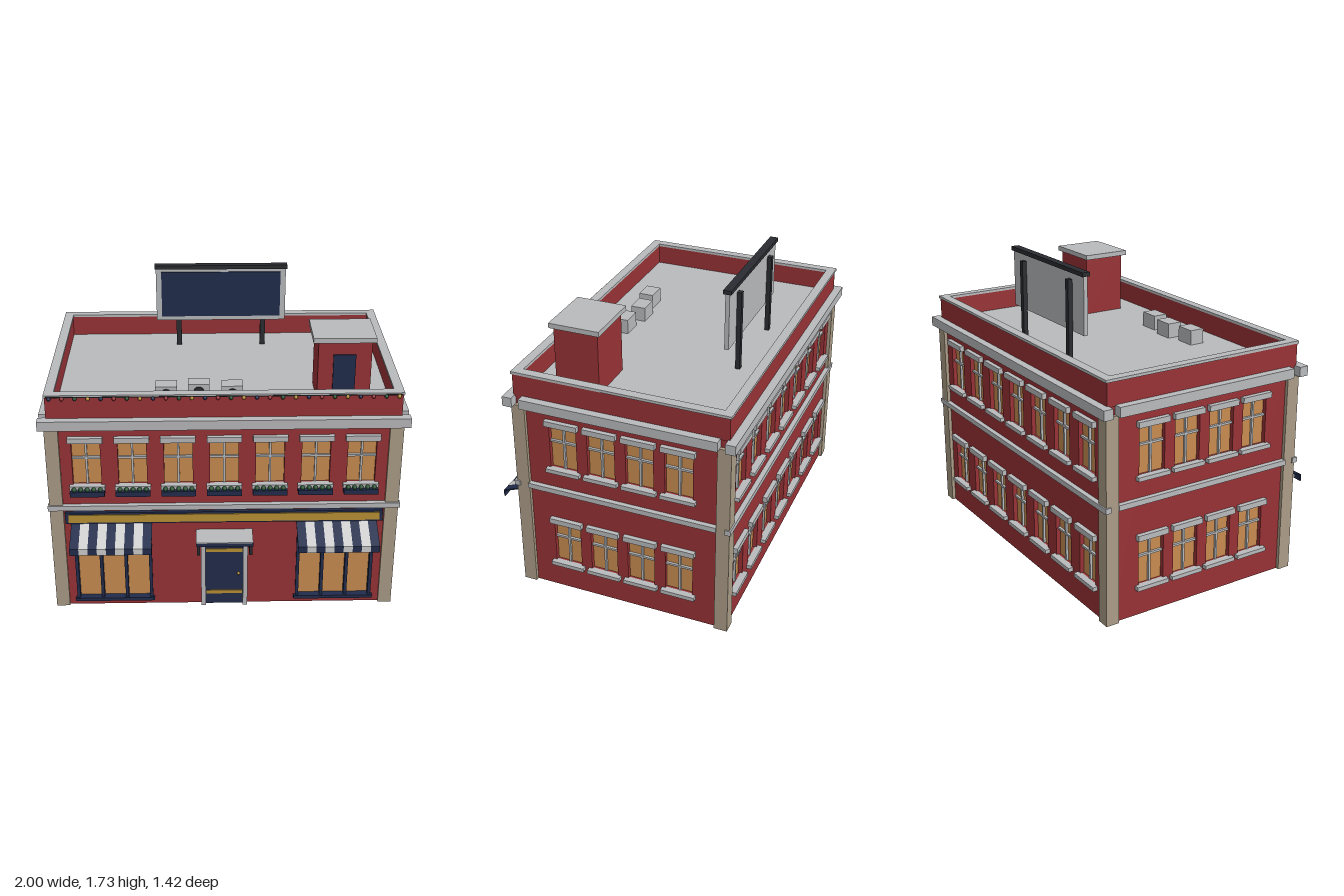
import * as THREE from 'three';

const mat = (name, color) => {
  const m = new THREE.MeshStandardMaterial({ color });
  m.name = name;
  return m;
};
const red = mat('brick red', 0x983236);
const stone = mat('pale stone', 0xb9babc);
const tan = mat('tan pillar stone', 0xab9c87);
const glass = mat('warm lit glass', 0xc98c50);
const navy = mat('navy paint', 0x212c4c);
const gold = mat('gold trim', 0xba9136);
const charcoal = mat('charcoal metal', 0x2b2c31);
const green = mat('leaf green', 0x24502f);
const white = mat('awning white', 0xcfcfd0);

function add(parent, name, geometry, material, x = 0, y = 0, z = 0) {
  const mesh = new THREE.Mesh(geometry, material);
  mesh.name = name;
  mesh.position.set(x, y, z);
  parent.add(mesh);
  return mesh;
}

// Box given by its min and max on each axis
const box = (parent, name, material, x0, x1, y0, y1, z0, z1) =>
  add(parent, name, new THREE.BoxGeometry(x1 - x0, y1 - y0, z1 - z0), material,
    (x0 + x1) / 2, (y0 + y1) / 2, (z0 + z1) / 2);

function group(parent, name) {
  const g = new THREE.Group();
  g.name = name;
  parent.add(g);
  return g;
}

const WALL = 0.035, TOP = 1.2, CZ = -0.0625;
const UPPER = [0.795, 1.067], LOWER = [0.172, 0.442];

// Wall with openings; outer face on local z = 0, looking along +z
function wall(parent, width, openings) {
  const w = width / 2;
  const shape = new THREE.Shape([[-w, 0], [w, 0], [w, TOP], [-w, TOP]].map(p => new THREE.Vector2(...p)));
  for (const [x0, x1, y0, y1] of openings) {
    shape.holes.push(new THREE.Path([[x0, y0], [x0, y1], [x1, y1], [x1, y0]].map(p => new THREE.Vector2(...p))));
    box(parent, 'glassPane', glass, x0, x1, y0, y1, -WALL + 0.002, -WALL + 0.01);
  }
  const geo = new THREE.ExtrudeGeometry(shape, { depth: WALL, bevelEnabled: false });
  add(parent, 'wall', geo, red, 0, 0, -WALL);
}

// Stone lintel, sill and glazing bars of one sash window
function windowTrim(parent, x, [y0, y1]) {
  const g = group(parent, 'window');
  box(g, 'lintel', stone, x - 0.095, x + 0.095, y1 - 0.004, y1 + 0.028, -0.005, 0.026);
  box(g, 'sill', stone, x - 0.098, x + 0.098, y0 - 0.02, y0 + 0.003, -0.01, 0.028);
  box(g, 'verticalBar', stone, x - 0.006, x + 0.006, y0, y1, -0.026, -0.012);
  const m = y0 + 0.6 * (y1 - y0);
  box(g, 'crossBar', stone, x - 0.078, x + 0.078, m - 0.006, m + 0.006, -0.026, -0.011);
}

// One side of the building: wall, windows, middle band and cornice
function facade(parent, name, o) {
  const g = group(parent, name);
  const openings = [...(o.extra || [])];
  for (const row of o.rows) for (const x of o.xs) {
    openings.push([x - 0.078, x + 0.078, row[0], row[1]]);
    windowTrim(g, x, row);
  }
  wall(g, o.width, openings);
  box(g, 'middleBand', stone, -o.band, o.band, 0.645, 0.675, -0.005, 0.028);
  box(g, 'cornice', stone, -o.cornice, o.cornice, 1.153, 1.208, -0.005, 0.05);
  return g;
}

// Shop window frame and striped awning, centred on cx
function shopWindow(parent, cx) {
  const g = group(parent, 'shopWindow');
  for (let i = 0; i < 4; i++) {
    const x = cx - 0.21 + i * 0.14;
    box(g, 'frameUpright', navy, x - 0.009, x + 0.009, 0.04, 0.55, -0.022, 0.012);
  }
  box(g, 'frameRail', navy, cx - 0.21, cx + 0.21, 0.348, 0.364, -0.02, 0.01);
  box(g, 'frameHead', navy, cx - 0.21, cx + 0.21, 0.535, 0.553, -0.02, 0.01);
  box(g, 'frameSill', navy, cx - 0.228, cx + 0.228, 0.033, 0.053, -0.02, 0.022);
  const profile = new THREE.Shape([[0.01, 0.555], [0.18, 0.49], [0.18, 0.45], [0.174, 0.45],
    [0.174, 0.485], [0.01, 0.547]].map(p => new THREE.Vector2(...p)));
  const w = 0.452 / 9;
  const stripe = new THREE.ExtrudeGeometry(profile, { depth: w, bevelEnabled: false }).rotateY(-Math.PI / 2);
  for (let i = 0; i < 9; i++)
    add(g, 'awningStripe', stripe, i % 2 ? white : navy, cx - 0.226 + (i + 1) * w, 0, 0);
}

function door(parent) {
  const g = group(parent, 'entrance');
  box(g, 'door', navy, -0.108, 0.108, 0, 0.435, -0.02, 0.008);
  for (const s of [-1, 1]) box(g, 'doorJamb', stone, s * 0.12 - 0.013, s * 0.12 + 0.013, 0, 0.455, -0.01, 0.028);
  box(g, 'doorHead', stone, -0.107, 0.107, 0.432, 0.455, -0.01, 0.028);
  for (const y of [0.07, 0.354]) box(g, 'doorStripe', gold, -0.104, 0.104, y, y + 0.022, 0.008, 0.013);
  add(g, 'doorKnob', new THREE.SphereGeometry(0.009, 10, 8), gold, 0.082, 0.21, 0.016);
  box(g, 'canopy', navy, -0.158, 0.158, 0.473, 0.495, 0, 0.143);
  box(g, 'canopyTop', stone, -0.158, 0.158, 0.495, 0.5, 0, 0.143);
  for (const s of [-1, 1]) box(g, 'canopyBracket', charcoal, s * 0.146 - 0.009, s * 0.146 + 0.009, 0.405, 0.473, 0, 0.122);
}

function planter(parent, x) {
  const g = group(parent, 'flowerBox');
  box(g, 'planter', navy, x - 0.095, x + 0.095, 0.745, 0.775, 0, 0.05);
  for (let i = -2; i <= 2; i++)
    add(g, 'plant', new THREE.SphereGeometry(0.014, 8, 6), green, x + i * 0.036, 0.784, 0.036);
}

export function createModel() {
  const model = new THREE.Group();
  model.name = 'cornerShopBuilding';
  const xs = [-3, -2, -1, 0, 1, 2, 3].map(i => i * 0.251);
  const sideXs = [-0.33, -0.11, 0.11, 0.33];

  // Facades
  const front = facade(model, 'frontFacade', {
    width: 1.9, xs, rows: [UPPER], band: 0.978, cornice: 1,
    extra: [[-0.84, -0.42, 0.045, 0.55], [0.42, 0.84, 0.045, 0.55], [-0.108, 0.108, 0.002, 0.435]],
  });
  front.position.z = 0.535;
  const back = facade(model, 'backFacade', { width: 1.9, xs, rows: [UPPER, LOWER], band: 0.978, cornice: 1 });
  back.position.z = -0.66;
  back.rotation.y = Math.PI;
  for (const s of [-1, 1]) {
    const side = facade(model, s > 0 ? 'leftFacade' : 'rightFacade',
      { width: 1.195 - 2 * WALL, xs: sideXs, rows: [UPPER, LOWER], band: 0.543, cornice: 0.553 });
    side.position.set(s * 0.95, 0, CZ);
    side.rotation.y = s * Math.PI / 2;
  }

  // Corner pillars
  for (const s of [-1, 1]) for (const z of [0.5125, -0.6425])
    add(model, 'cornerPillar', new THREE.BoxGeometry(0.075, 1.155, 0.075), tan, s * 0.9325, 0.5775, z);

  // Shop front
  for (const s of [-1, 1]) shopWindow(front, s * 0.63);
  door(front);
  box(front, 'signBoard', navy, -0.887, 0.887, 0.557, 0.627, 0, 0.02);
  box(front, 'signPanel', gold, -0.868, 0.868, 0.567, 0.615, 0.02, 0.026);
  for (const x of xs) planter(front, x);

  // Roof deck, parapet and coping
  const roof = group(model, 'roof');
  box(roof, 'roofDeck', stone, -0.915, 0.915, 1.185, 1.215, -0.63, 0.5);
  const rings = [['parapet', red, 0.955, 0.54, -0.665, 0.042, TOP, 1.33],
    ['coping', stone, 0.96, 0.547, -0.673, 0.052, 1.33, 1.345]];
  for (const [name, m, x, zf, zb, t, y0, y1] of rings) {
    box(roof, name, m, -x, x, y0, y1, zf - t, zf);
    box(roof, name, m, -x, x, y0, y1, zb, zb + t);
    for (const s of [-1, 1]) box(roof, name, m, s * (x - t / 2) - t / 2, s * (x - t / 2) + t / 2, y0, y1, zb + t, zf - t);
  }

  // String of lights along the parapet
  const lights = group(model, 'stringLights');
  box(lights, 'wire', charcoal, -0.95, 0.95, 1.332, 1.337, 0.546, 0.55);
  const bulb = new THREE.SphereGeometry(0.011, 8, 6);
  for (let i = 0; i < 28; i++)
    add(lights, 'bulb', bulb, [navy, red, green, gold][i % 4], -0.93 + i * 1.86 / 27, 1.326, 0.551);

  // Stair hut
  const hut = group(model, 'stairHut');
  box(hut, 'hutWalls', red, 0.51, 0.8, 1.21, 1.562, 0.115, 0.365);
  box(hut, 'hutRoof', stone, 0.48, 0.82, 1.562, 1.59, 0.098, 0.383);
  box(hut, 'hutDoor', navy, 0.592, 0.714, 1.215, 1.49, 0.365, 0.374);

  // Air conditioning units
  for (const [x, z] of [[-0.315, 0.307], [-0.135, 0.28], [0.048, 0.307]]) {
    const unit = group(model, 'airUnit');
    box(unit, 'casing', stone, x - 0.059, x + 0.059, 1.21, 1.3, z - 0.043, z + 0.043);
    add(unit, 'fan', new THREE.CylinderGeometry(0.03, 0.03, 0.008, 16).rotateX(Math.PI / 2), charcoal, x, 1.256, z + 0.046);
  }

  // Billboard
  const board = group(model, 'billboard');
  box(board, 'boardFrame', stone, -0.385, 0.385, 1.385, 1.707, -0.446, -0.422);
  box(board, 'boardFace', navy, -0.353, 0.353, 1.412, 1.688, -0.422, -0.414);
  box(board, 'boardCap', charcoal, -0.392, 0.392, 1.707, 1.73, -0.457, -0.412);
  for (const s of [-1, 1]) box(board, 'boardPost', charcoal, s * 0.253 - 0.015, s * 0.253 + 0.015, 1.21, 1.67, -0.472, -0.446);

  return model;
}
